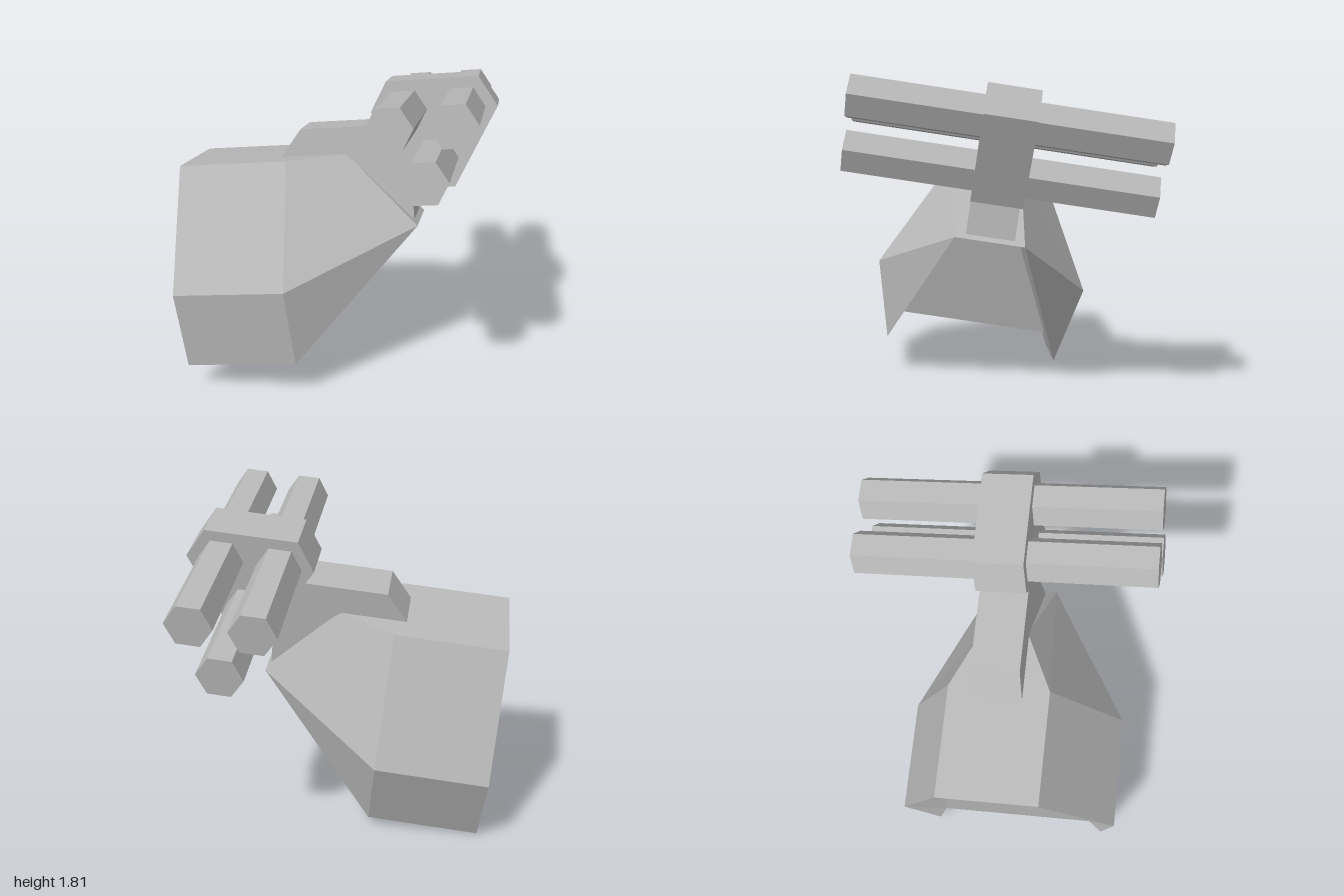
import * as THREE from 'three';

const grey = new THREE.MeshStandardMaterial({ color: 0xb8b8b8, flatShading: true });
grey.name = 'grey';

// Extrudes an outline in the x-y plane, centred on z = 0
function slab(name, points, depth) {
  const shape = new THREE.Shape(points.map(([x, y]) => new THREE.Vector2(x, y)));
  const geometry = new THREE.ExtrudeGeometry(shape, { depth, bevelEnabled: false });
  geometry.translate(0, 0, -depth / 2);
  const mesh = new THREE.Mesh(geometry, grey);
  mesh.name = name;
  return mesh;
}

// Faceted saddle-shaped body: one half is listed, the other is mirrored in z
function bodyGeometry() {
  const v = {
    ridgeRear: [-1.455, -0.14, 0.285], ridgeFront: [-0.83, -0.14, 0.285], apex: [-0.51, -0.14, 0.13],
    shoulderRear: [-1.455, -0.806, 0.636], shoulderFront: [-0.827, -0.806, 0.636],
    lipRear: [-1.455, -1.262, 0.518], lipFront: [-0.822, -1.262, 0.518],
    tip: [-0.122, -0.56, 0.195], grooveTop: [-0.86, -0.56, 0.195],
    floorFront: [-1.054, -1.126, 0.455], floorRear: [-1.41, -1.126, 0.455],
    dent: [-1.39, -0.33, 0.285],
  };
  const positions = [];
  const fan = (pts) => {
    for (let i = 1; i < pts.length - 1; i++) positions.push(...pts[0], ...pts[i], ...pts[i + 1]);
  };
  const mirror = ([x, y, z]) => [x, y, -z];

  // Faces on each flank
  const flank = [
    'ridgeRear shoulderRear shoulderFront ridgeFront',
    'shoulderRear lipRear lipFront shoulderFront',
    'ridgeFront shoulderFront tip apex',
    'shoulderFront lipFront tip',
    'lipFront lipRear floorRear floorFront',
    'lipFront floorFront grooveTop tip',
    'ridgeRear dent shoulderRear',
    'dent floorRear shoulderRear',
    'floorRear lipRear shoulderRear',
  ];
  for (const face of flank) {
    const pts = face.split(' ').map((n) => v[n]);
    fan(pts);
    fan(pts.map(mirror).reverse());
  }

  // Faces that span both flanks: top, slope, underside, groove end, floor, rear
  const spans = [
    'ridgeRear ridgeFront apex', 'apex tip', 'tip grooveTop', 'grooveTop floorFront',
    'floorFront floorRear', 'floorRear dent', 'dent ridgeRear',
  ];
  for (const span of spans) {
    const pts = span.split(' ').map((n) => v[n]);
    fan([...pts, ...pts.map(mirror).reverse()]);
  }

  const geometry = new THREE.BufferGeometry();
  geometry.setAttribute('position', new THREE.Float32BufferAttribute(positions, 3));
  geometry.computeVertexNormals();
  return geometry;
}

export function createModel() {
  const model = new THREE.Group();
  model.name = 'model';
  const rig = new THREE.Group();
  rig.name = 'tiltedAssembly';
  model.add(rig);

  const body = new THREE.Mesh(bodyGeometry(), grey);
  body.name = 'body';
  rig.add(body);

  // Arm joining the body to the barrel holder
  rig.add(slab('arm', [[-0.92, -0.18], [-0.145, -0.55], [-0.145, 0.015], [-0.767, 0.015]], 0.272));

  // Triangular holder with cut corners
  const corners = [];
  for (const centre of [-90, 30, 150]) {
    for (const offset of [-15.5, 15.5]) {
      const a = THREE.MathUtils.degToRad(centre + offset);
      corners.push([0.365 * Math.cos(a), 0.365 * Math.sin(a)]);
    }
  }
  rig.add(slab('barrelHolder', corners, 0.28));

  // Three six-sided barrels
  const barrelGeometry = new THREE.CylinderGeometry(0.125, 0.125, 1.675, 6);
  barrelGeometry.rotateY(Math.PI / 6).rotateX(Math.PI / 2);
  for (const angle of [-90, 30, 150]) {
    const a = THREE.MathUtils.degToRad(angle);
    const barrel = new THREE.Mesh(barrelGeometry, grey);
    barrel.name = 'barrel';
    barrel.position.set(0.186 * Math.cos(a), 0.186 * Math.sin(a), 0);
    rig.add(barrel);
  }

  // Tilt and place the whole assembly
  const xAxis = new THREE.Vector3(0.966, 0.101, 0.239).normalize();
  const zAxis = new THREE.Vector3(-0.2527, 0.149, 0.956);
  const yAxis = zAxis.clone().cross(xAxis).normalize();
  zAxis.crossVectors(xAxis, yAxis);
  rig.quaternion.setFromRotationMatrix(new THREE.Matrix4().makeBasis(xAxis, yAxis, zAxis));
  rig.position.set(0.5125, 1.486, 0.032);
  return model;
}
